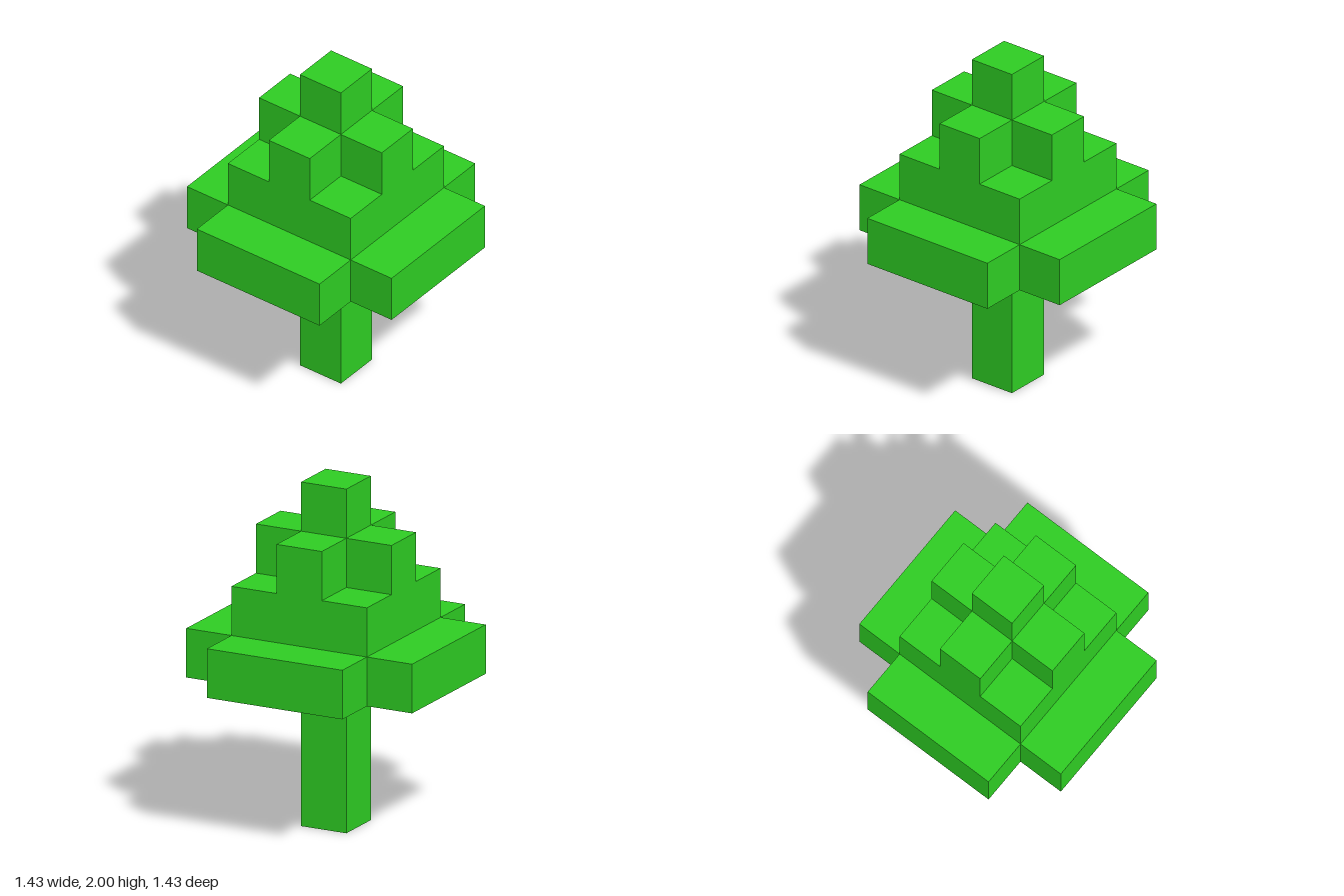
import * as THREE from 'three';

const U = 2 / 7; // edge of one block

export function createModel() {
  const tree = new THREE.Group();
  tree.name = 'blockTree';
  const material = new THREE.MeshStandardMaterial({ color: 0x2fd024, flatShading: true });

  const add = (name, geometry, y) => {
    const mesh = new THREE.Mesh(geometry, material);
    mesh.name = name;
    mesh.position.y = y * U;
    tree.add(mesh);
  };

  // Square column, w blocks wide and h blocks tall, standing on level y
  const block = (name, w, h, y) =>
    add(name, new THREE.BoxGeometry(w * U, h * U, w * U).translate(0, h * U / 2, 0), y);

  // Plus-shaped layer, one block tall: arms reach to `span`, each `width` blocks wide
  const cross = (name, span, width, y) => {
    const a = span * U / 2, b = width * U / 2;
    const outline = [[a, -b], [a, b], [b, b], [b, a], [-b, a], [-b, b],
      [-a, b], [-a, -b], [-b, -b], [-b, -a], [b, -a], [b, -b]];
    const shape = new THREE.Shape(outline.map(([x, z]) => new THREE.Vector2(x, z)));
    const geometry = new THREE.ExtrudeGeometry(shape, { depth: U, bevelEnabled: false });
    add(name, geometry.rotateX(-Math.PI / 2), y);
  };

  block('trunk', 1, 3, 0);
  cross('lowerFoliage', 5, 3, 3);
  block('middleFoliage', 3, 1, 4);
  cross('upperFoliage', 3, 1, 5);
  block('treeTop', 1, 1, 6);

  return tree;
}
